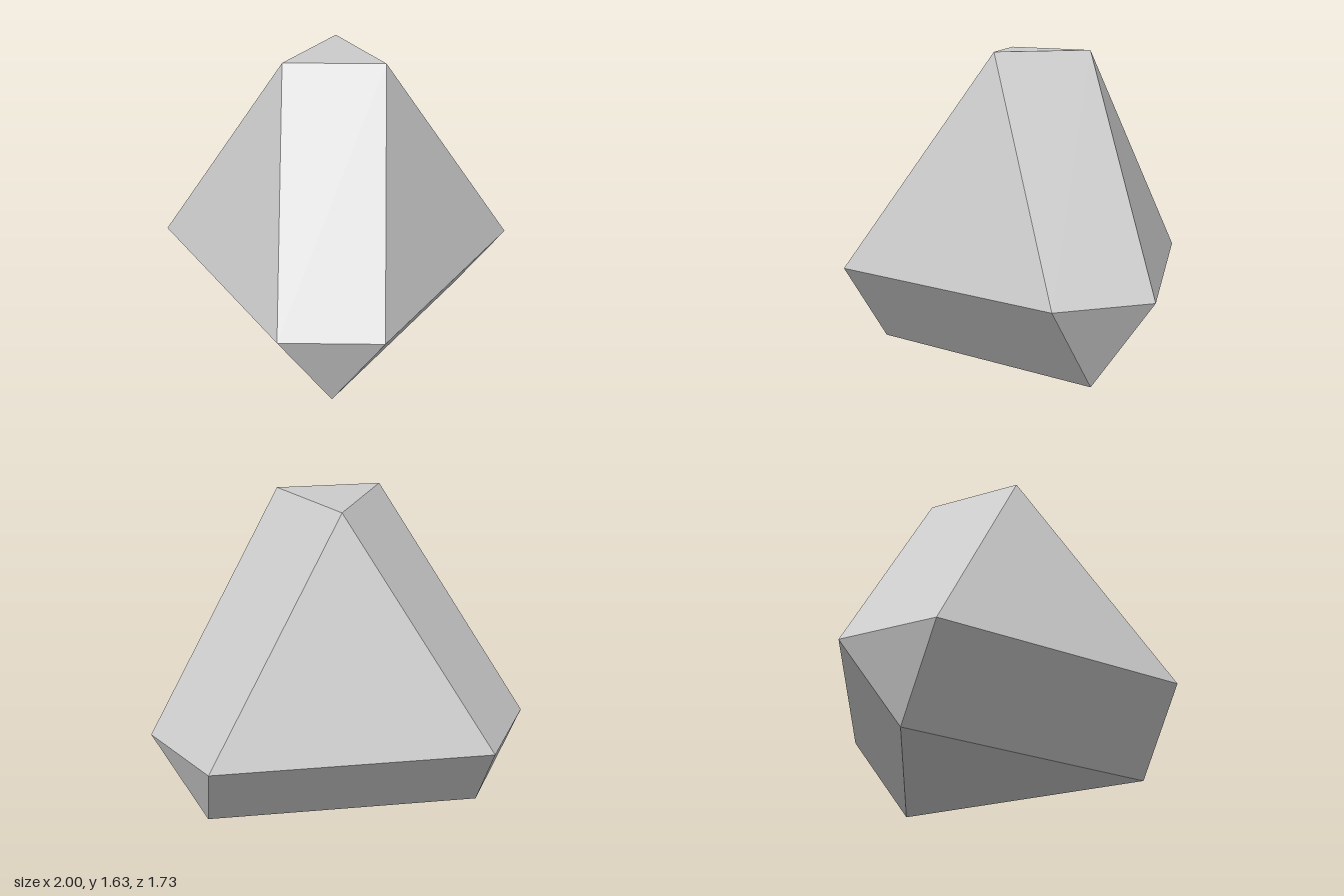
import * as THREE from 'three';
import { ConvexGeometry } from 'three/addons/geometries/ConvexGeometry.js';

// Tetrahedron with bevelled edges and corners: four large triangles,
// four small corner triangles and six rectangles between them.
const LARGE = 1.455; // edge of the large triangles
const SMALL = 0.545; // edge of the corner triangles

export function createModel() {
  const group = new THREE.Group();
  group.name = 'bevelledTetrahedron';

  const rLarge = LARGE / Math.sqrt(3);
  const rSmall = SMALL / Math.sqrt(3);
  const rise = Math.sqrt(2 / 3); // tetrahedron height per unit of edge
  const yMid = SMALL * rise;
  const yTop = (SMALL + LARGE) * rise;
  const zAxis = (rSmall - rLarge) / 4; // centres the depth on z = 0

  // One third of the corners, repeated around the vertical axis
  const third = [
    [0, 0, rLarge], // base triangle
    [SMALL / 2, yMid, rLarge + rSmall / 2], // widest ring
    [-SMALL / 2, yMid, rLarge + rSmall / 2],
    [0, yTop, -rSmall], // top triangle
  ];
  const up = new THREE.Vector3(0, 1, 0);
  const points = [];
  for (let i = 0; i < 3; i++) {
    for (const p of third) {
      const v = new THREE.Vector3(...p).applyAxisAngle(up, (i * Math.PI * 2) / 3);
      v.z += zAxis;
      points.push(v);
    }
  }

  const material = new THREE.MeshStandardMaterial({ color: 0xcccccc, flatShading: true });
  const body = new THREE.Mesh(new ConvexGeometry(points), material);
  body.name = 'body';
  group.add(body);
  return group;
}
